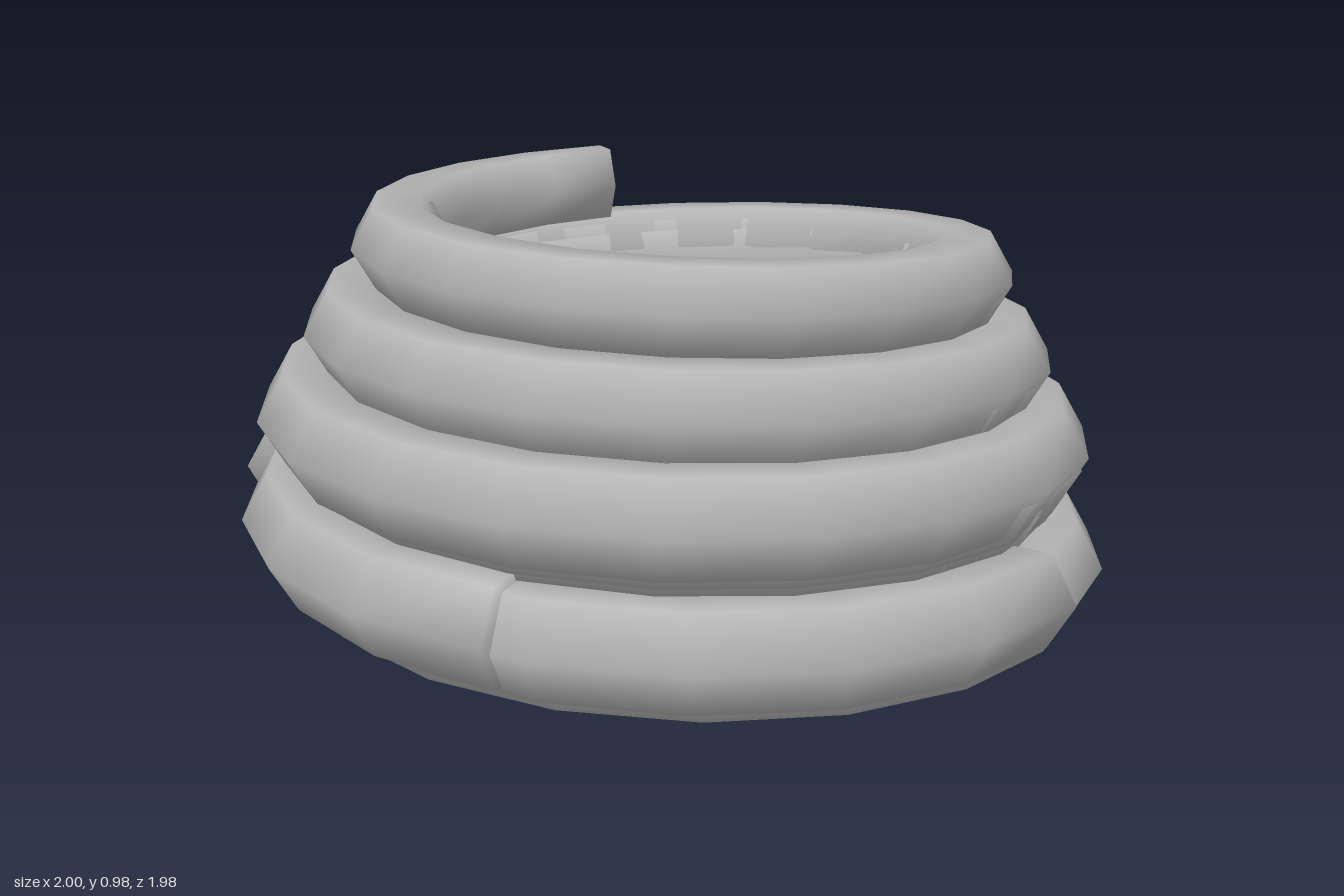
import * as THREE from 'three';

const TURNS = 3, STEPS_PER_TURN = 20, SIDES = 6;
const TUBE_START = 0.12, TUBE_END = 0.1;
const R_START = 0.88, R_END = 0.605, PITCH = 0.182;
const { lerp, degToRad } = THREE.MathUtils;

// Hexagonal tube swept along a rising, tightening spiral, closed at both ends.
// The spiral's centre drifts from x0 to x1 on the way up.
function spiralTube(startAngle, startY, x0, x1) {
  const pos = [], idx = [];
  const steps = TURNS * STEPS_PER_TURN;
  for (let i = 0; i <= steps; i++) {
    const t = i / steps;
    const a = startAngle + t * TURNS * Math.PI * 2;
    const r = lerp(R_START, R_END, t);
    const tube = lerp(TUBE_START, TUBE_END, t);
    const y = startY + t * TURNS * PITCH;
    for (let j = 0; j < SIDES; j++) {
      const p = (j / SIDES) * Math.PI * 2;
      const rho = r + tube * Math.cos(p);
      pos.push(lerp(x0, x1, t) + rho * Math.cos(a), y + tube * Math.sin(p), rho * Math.sin(a));
    }
  }
  for (let i = 0; i < steps; i++) {
    for (let j = 0; j < SIDES; j++) {
      const k = (j + 1) % SIDES;
      const a = i * SIDES + j, b = i * SIDES + k, c = a + SIDES, d = b + SIDES;
      idx.push(a, b, c, b, d, c);
    }
  }
  // end caps
  const last = steps * SIDES;
  for (let j = 1; j < SIDES - 1; j++) {
    idx.push(0, j + 1, j, last, last + j, last + j + 1);
  }
  const geo = new THREE.BufferGeometry();
  geo.setAttribute('position', new THREE.Float32BufferAttribute(pos, 3));
  geo.setIndex(idx);
  geo.computeVertexNormals();
  return geo;
}

export function createModel() {
  const model = new THREE.Group();
  model.name = 'coil';
  const grey = new THREE.MeshStandardMaterial({ color: 0xb4b4b4 });
  grey.name = 'grey';

  // Five overlapping strands, each turned about a fifth of a circle and lifted:
  // start angle, centre x at the bottom, centre x at the top
  const strands = [
    [-2.5, 0, 0.05],
    [71, 0, 0.02],
    [147, -0.01, 0],
    [219, -0.02, 0],
    [289, -0.035, 0],
  ];
  strands.forEach(([deg, x0, x1], k) => {
    const geo = spiralTube(degToRad(deg), 0.104 + k * 0.0605, x0, x1);
    const strand = new THREE.Mesh(geo, grey);
    strand.name = `coilStrand${k + 1}`;
    strand.position.z = -0.01;
    model.add(strand);
  });
  return model;
}
